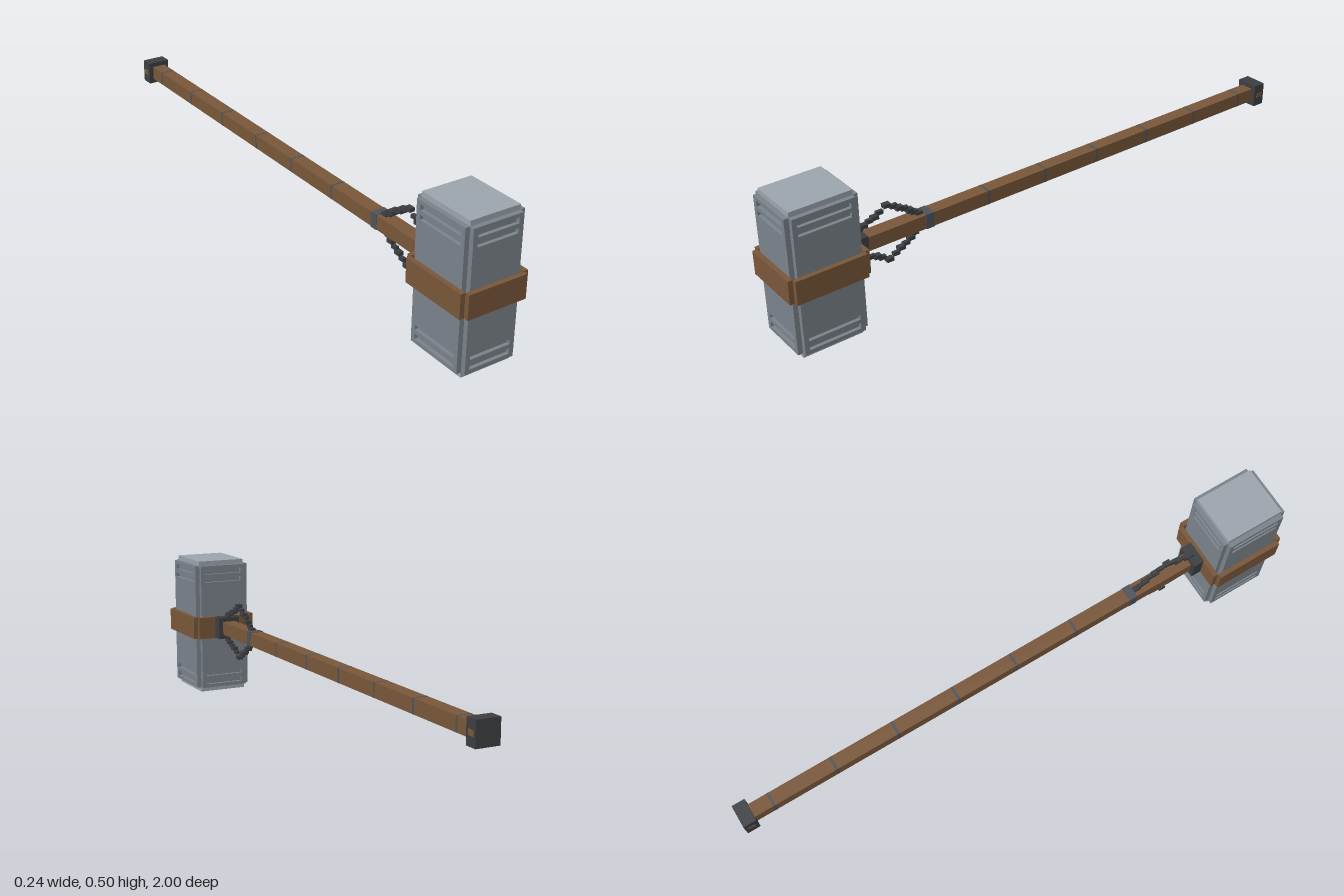
import * as THREE from 'three';

const mat = (name, color) => {
  const m = new THREE.MeshStandardMaterial({ color });
  m.name = name;
  return m;
};

export function createModel() {
  const steel = mat('steel', 0x7c848c);
  const paleSteel = mat('paleSteel', 0x9ea6af);
  const wood = mat('brown', 0x7a583a);
  const iron = mat('darkIron', 0x3e3f43);
  const ringGrey = mat('ringGrey', 0x50545b);

  const model = new THREE.Group();
  model.name = 'warHammer';

  const add = (parent, name, geometry, material, x = 0, y = 0, z = 0) => {
    const mesh = new THREE.Mesh(geometry, material);
    mesh.name = name;
    mesh.position.set(x, y, z);
    parent.add(mesh);
    return mesh;
  };
  const box = (parent, name, w, h, d, material, x, y, z) =>
    add(parent, name, new THREE.BoxGeometry(w, h, d), material, x, y, z);

  const rectPath = (path, x0, y0, x1, y1) => {
    path.moveTo(x0, y0);
    path.lineTo(x1, y0);
    path.lineTo(x1, y1);
    path.lineTo(x0, y1);
    path.closePath();
    return path;
  };

  // Head: pale core with a slotted plate and a brown strap on each side
  const midY = 0.248;
  const head = new THREE.Group();
  head.name = 'head';
  head.position.set(0, midY, 0.867);
  model.add(head);
  const coreX = 0.088, coreZ = 0.103, plate = 0.016;
  box(head, 'headCore', coreX * 2, 0.496, coreZ * 2, paleSteel, 0, 0, 0);

  for (let i = 0; i < 4; i++) {
    const sideways = i % 2 === 1;
    const halfW = sideways ? coreZ : coreX;
    const dist = sideways ? coreX : coreZ;
    const side = new THREE.Group();
    side.name = 'headSide' + (i + 1);
    side.rotation.y = i * Math.PI / 2;
    head.add(side);

    const shape = rectPath(new THREE.Shape(), -halfW, -0.231, halfW, 0.231);
    const slotW = halfW - 0.016;
    for (const [y0, y1] of [[0.17, 0.186], [0.2, 0.218]]) {
      shape.holes.push(rectPath(new THREE.Path(), -slotW, y0, slotW, y1));
      shape.holes.push(rectPath(new THREE.Path(), -slotW, -y1, slotW, -y0));
    }
    const slotted = new THREE.ExtrudeGeometry(shape, { depth: plate - 0.004, bevelEnabled: false });
    add(side, 'slottedPlate', slotted, steel, 0, 0, dist + 0.004);
    box(side, 'slotBacking', halfW * 2, 0.462, 0.004, steel, 0, 0, dist + 0.002);

    const strapW = halfW + 0.016;
    box(side, 'strap', strapW * 2, 0.08, 0.016, wood, 0, 0.001, dist + plate + 0.008);
  }

  // Handle with flush rings
  const handle = new THREE.Group();
  handle.name = 'handle';
  handle.position.y = 0.25;
  model.add(handle);
  box(handle, 'shaft', 0.048, 0.048, 1.69, wood, 0, 0, -0.115);
  for (const z of [0.24, 0.01, -0.21, -0.435, -0.66, -0.885]) {
    box(handle, 'thinRing', 0.0486, 0.0486, 0.009, ringGrey, 0, 0, z);
  }
  box(handle, 'chainRing', 0.051, 0.051, 0.03, ringGrey, 0, 0, 0.465);
  box(handle, 'collar', 0.08, 0.08, 0.04, iron, 0, 0, 0.716);
  box(handle, 'pommel', 0.08, 0.08, 0.045, iron, 0, 0, -0.9775);
  for (const s of [1, -1]) {
    box(handle, 'pommelInlay', 0.002, 0.018, 0.026, wood, s * 0.04, 0, -0.978);
  }

  // Two slack chains of blocky links, mirrored above and below the handle
  const links = [
    [0.705, 0.046], [0.688, 0.054], [0.667, 0.063], [0.648, 0.069], [0.63, 0.08],
    [0.605, 0.096], [0.58, 0.084], [0.561, 0.071], [0.542, 0.062],
    [0.524, 0.049], [0.508, 0.037], [0.492, 0.027],
  ];
  for (const s of [1, -1]) {
    const chain = new THREE.Group();
    chain.name = s > 0 ? 'upperChain' : 'lowerChain';
    handle.add(chain);
    links.forEach(([z, y], i) => {
      const w = i % 2 ? 0.018 : 0.012;
      box(chain, 'link', w, 0.013, 0.024, iron, 0, s * y, z);
    });
  }

  return model;
}
